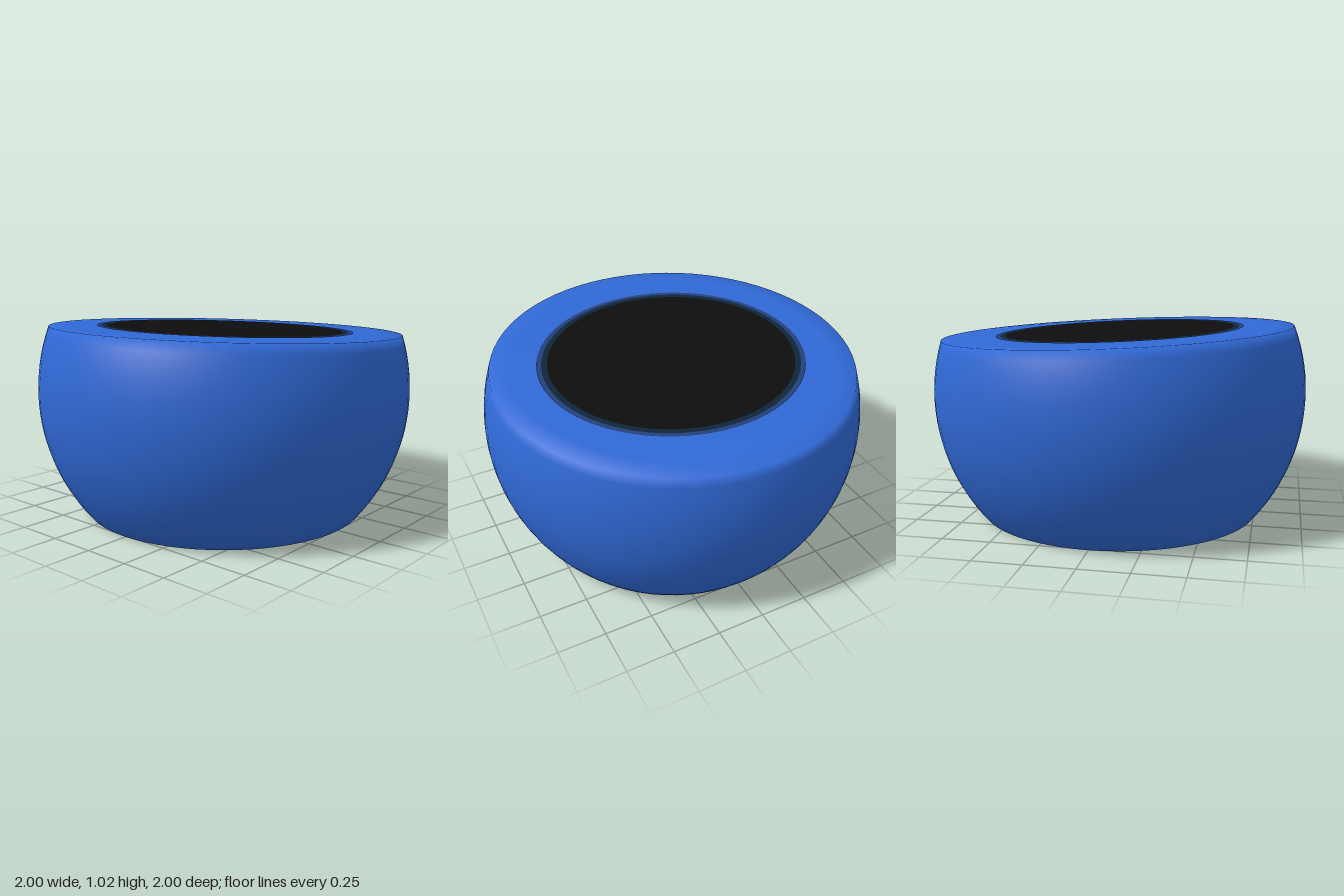
import * as THREE from 'three';
import { mergeVertices } from 'three/addons/utils/BufferGeometryUtils.js';

const CENTER_Y = 0.65;  // centre of the unit sphere the body is cut from
const TOP_Y = 0.98;     // height of the slanted top at the middle
const SLOPE = 0.043;    // rise of the top toward the front
const WALL_ROWS = 20;

const paint = (name, color) => {
  const material = new THREE.MeshStandardMaterial({ color });
  material.name = name;
  return material;
};

const sphereRadius = (y) => Math.sqrt(1 - (y - CENTER_Y) ** 2);

// Sphere with a flat base and a slanted flat top, with softly shaded edges
function bodyGeometry() {
  const profile = [new THREE.Vector2(0, 0), new THREE.Vector2(0.66, 0)];
  for (let i = 0; i <= WALL_ROWS; i++) {
    const y = (TOP_Y * i) / WALL_ROWS;
    profile.push(new THREE.Vector2(sphereRadius(y), y));
  }
  profile.push(new THREE.Vector2(0.84, TOP_Y), new THREE.Vector2(0.7, TOP_Y), new THREE.Vector2(0, TOP_Y));

  let geometry = new THREE.LatheGeometry(profile, 72);
  const p = geometry.attributes.position;
  for (let i = 0; i < p.count; i++) {
    const row = i % profile.length;
    const x = p.getX(i), z = p.getZ(i), y = p.getY(i);
    const r = Math.hypot(x, z);
    if (row > WALL_ROWS + 2) {
      // top face follows the slanted plane
      p.setY(i, TOP_Y + SLOPE * z);
    } else if (row >= 2) {
      // wall rows stretch to meet the slant while staying on the sphere
      const newY = (y / TOP_Y) * (TOP_Y + SLOPE * 0.94 * (z / r));
      const k = sphereRadius(newY) / r;
      p.setXYZ(i, x * k, newY, z * k);
    }
  }
  geometry.deleteAttribute('normal');
  geometry.deleteAttribute('uv');
  geometry = mergeVertices(geometry, 1e-5);
  geometry.computeVertexNormals();
  return geometry;
}

export function createModel() {
  const group = new THREE.Group();
  const blue = paint('blue', 0x3069d6);
  const navy = paint('navy', 0x22407a);
  const darkTeal = paint('darkTeal', 0x0f2539);
  const black = paint('black', 0x0d0d0d);

  const add = (name, geometry, material, parent) => {
    const mesh = new THREE.Mesh(geometry, material);
    mesh.name = name;
    parent.add(mesh);
  };

  add('body', bodyGeometry(), blue, group);

  // Slightly oval opening painted on the slanted top
  const opening = new THREE.Group();
  opening.name = 'opening';
  opening.position.y = TOP_Y + 0.004;
  opening.rotation.x = -Math.atan(SLOPE);
  group.add(opening);
  const flat = (geometry) => geometry.rotateX(-Math.PI / 2).scale(1, 1, 0.945);
  add('outerRing', flat(new THREE.RingGeometry(0.68, 0.705, 72)), navy, opening);
  add('innerRing', flat(new THREE.RingGeometry(0.65, 0.68, 72)), darkTeal, opening);
  add('darkCenter', flat(new THREE.CircleGeometry(0.65, 72)), black, opening);

  return group;
}
